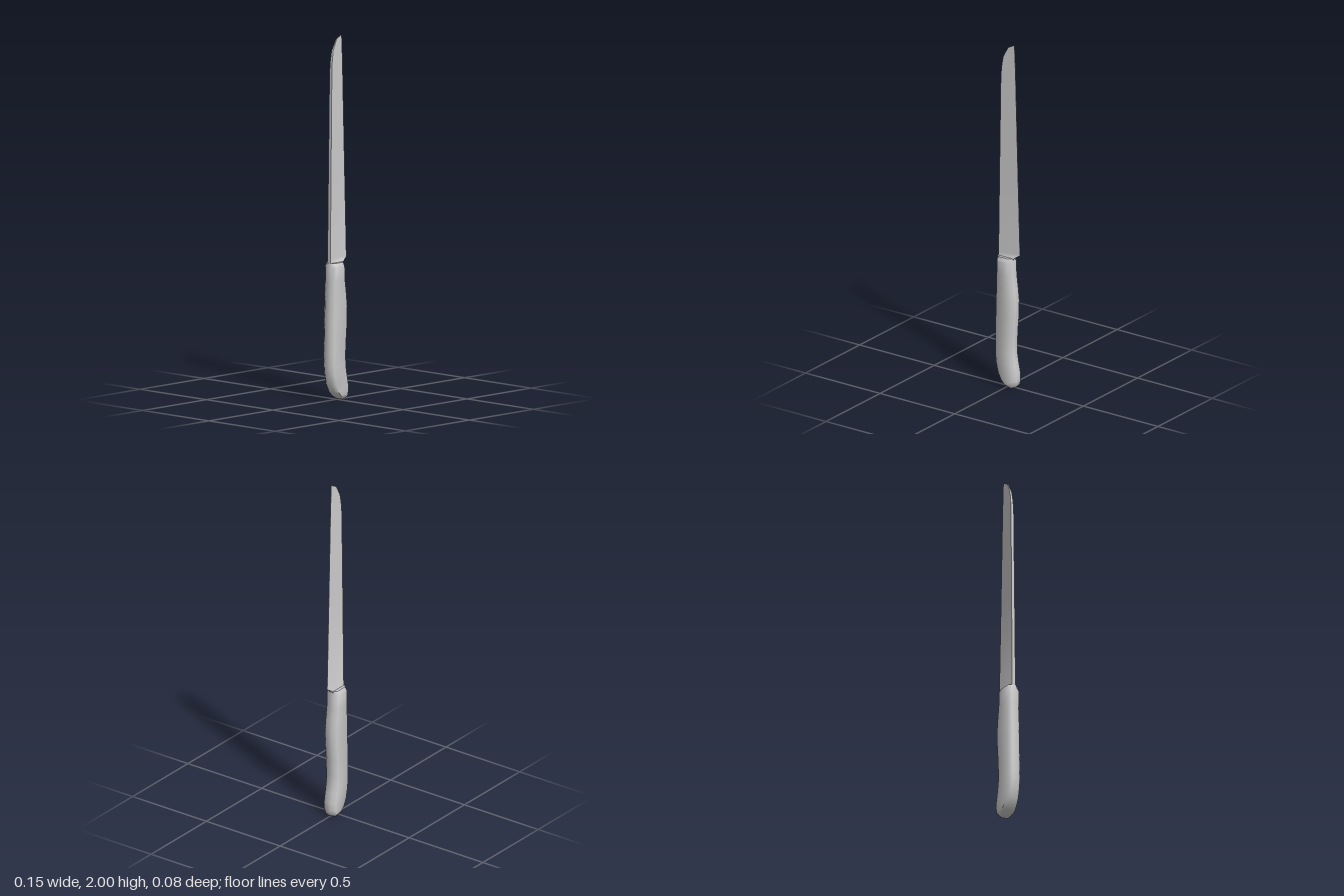
import * as THREE from 'three';
import { toCreasedNormals } from 'three/addons/utils/BufferGeometryUtils.js';

// Skin a stack of equal-length rings (ordered bottom to top) and cap both ends.
function loft(rings, crease) {
  const n = rings[0].length, last = (rings.length - 1) * n, index = [];
  for (let i = 0; i < rings.length - 1; i++) {
    for (let j = 0; j < n; j++) {
      const a = i * n + j, b = i * n + (j + 1) % n;
      index.push(a, b, b + n, a, b + n, a + n);
    }
  }
  for (let j = 1; j < n - 1; j++) {
    index.push(0, j + 1, j, last, last + j, last + j + 1);
  }
  const geometry = new THREE.BufferGeometry();
  geometry.setAttribute('position', new THREE.Float32BufferAttribute(rings.flat(2), 3));
  geometry.setIndex(index);
  return toCreasedNormals(geometry, crease);
}

// Bevelled rectangle for the grip.
function gripRing([y, l, r, h]) {
  const c = Math.min(0.016, (r - l) * 0.25), k = h * 0.45;
  return [
    [l, y, k], [l + c, y, h], [r - c, y, h], [r, y, k],
    [r, y, -k], [r - c, y, -h], [l + c, y, -h], [l, y, -k],
  ];
}

// Wedge for the blade: thick spine on the left, thin edge on the right.
function bladeRing([y, l, r, spine, edge]) {
  return [[l, y, spine], [r, y, edge], [r, y, -edge], [l, y, -spine]];
}

export function createModel() {
  const knife = new THREE.Group();
  knife.name = 'knife';
  const material = new THREE.MeshStandardMaterial({ color: 0xcccccc });

  // Handle sections: y, left x, right x, half thickness
  const handle = new THREE.Mesh(loft([
    [0.0, 0.018, 0.04, 0.024],
    [0.008, 0.0, 0.053, 0.031],
    [0.022, -0.02, 0.062, 0.039],
    [0.045, -0.04, 0.066, 0.04],
    [0.085, -0.06, 0.065, 0.04],
    [0.14, -0.072, 0.054, 0.04],
    [0.19, -0.077, 0.046, 0.04],
    [0.25, -0.077, 0.044, 0.04],
    [0.34, -0.076, 0.049, 0.04],
    [0.43, -0.074, 0.056, 0.04],
    [0.51, -0.072, 0.057, 0.04],
    [0.58, -0.07, 0.05, 0.04],
    [0.65, -0.068, 0.041, 0.04],
    [0.735, -0.067, 0.037, 0.04],
    [0.755, -0.065, 0.035, 0.03],
  ].map(gripRing), 1.0), material);
  handle.name = 'handle';

  // Blade sections: y, spine x, edge x, half thickness at spine and at edge
  const blade = new THREE.Mesh(loft([
    [0.745, -0.061, 0.036, 0.013, 0.013],
    [0.757, -0.061, 0.042, 0.013, 0.012],
    [0.778, -0.061, 0.075, 0.011, 0.0006],
    [1.3, -0.054, 0.06, 0.01, 0.0006],
    [1.8, -0.047, 0.046, 0.009, 0.0006],
    [1.86, -0.043, 0.044, 0.008, 0.0006],
    [1.92, -0.034, 0.042, 0.006, 0.0006],
    [1.98, -0.004, 0.039, 0.003, 0.0006],
    [2.0, 0.034, 0.038, 0.0006, 0.0006],
  ].map(bladeRing), 0.4), material);
  blade.name = 'blade';

  knife.add(handle, blade);
  return knife;
}
